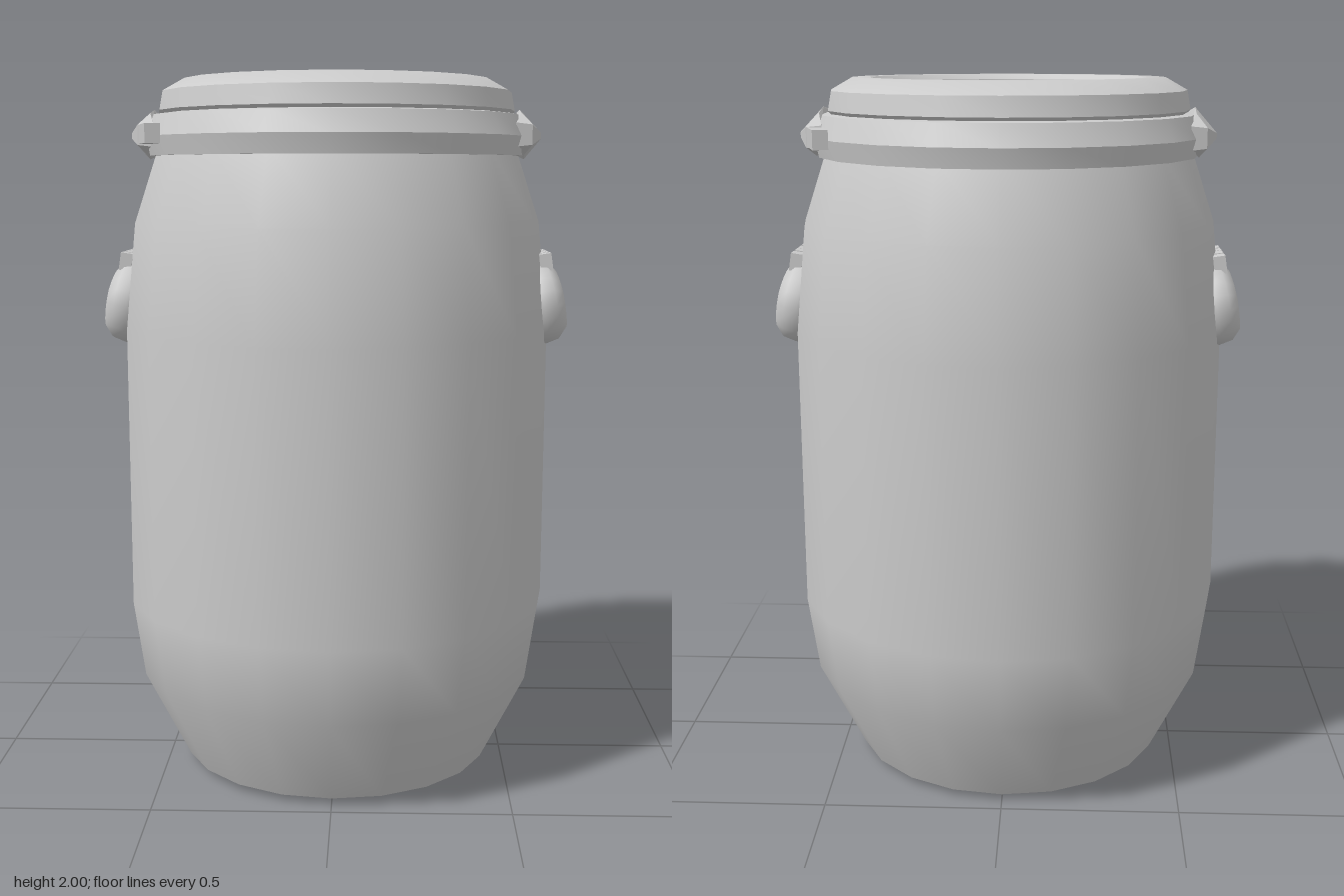
import * as THREE from 'three';
import { toCreasedNormals } from 'three/addons/utils/BufferGeometryUtils.js';
import { ConvexGeometry } from 'three/addons/geometries/ConvexGeometry.js';

const SIDES = 20;
const grey = new THREE.MeshStandardMaterial({ color: 0xcccccc, side: THREE.DoubleSide });
const V = (x, y, z) => new THREE.Vector3(x, y, z);

function mesh(name, geometry, parent) {
  const m = new THREE.Mesh(geometry, grey);
  m.name = name;
  parent.add(m);
  return m;
}

// Turned part from [radius, height] pairs, listed bottom to top
function turned(profile, crease) {
  const g = new THREE.LatheGeometry(profile.map(([r, y]) => new THREE.Vector2(r, y)), SIDES);
  return crease ? toCreasedNormals(g, crease) : g;
}

// Carrying handle on the +x side: kidney-shaped loop, web and hinge lugs
function buildHandle() {
  const handle = new THREE.Group();
  const path = new THREE.CatmullRomCurve3([
    V(0.582, 1.425, 0), V(0.582, 1.425, 0.075), V(0.592, 1.385, 0.122), V(0.602, 1.325, 0.105),
    V(0.604, 1.318, 0), V(0.602, 1.325, -0.105), V(0.592, 1.385, -0.122), V(0.582, 1.425, -0.075),
  ], true);
  const loop = new THREE.TubeGeometry(path, 32, 0.062, 10, true);
  mesh('handleLoop', loop, handle);

  const web = mesh('handleWeb', new THREE.BoxGeometry(0.05, 0.14, 0.2), handle);
  web.position.set(0.596, 1.39, 0);
  web.rotation.z = 0.12;

  // Hinge lugs along the top edge
  for (const [z, width] of [[-0.085, 0.045], [-0.025, 0.045], [0.025, 0.045], [0.085, 0.045]]) {
    const lug = mesh('hingeLug', new THREE.BoxGeometry(0.035, 0.05, width), handle);
    lug.position.set(0.6, 1.488, z);
    lug.rotation.z = 0.15;
  }
  const pin = mesh('hingePin', new THREE.CylinderGeometry(0.014, 0.014, 0.2, 8), handle);
  pin.position.set(0.602, 1.48, 0);
  pin.rotation.x = Math.PI / 2;
  return handle;
}

// Clamp on the +x side: faceted housing with a lever reaching past it
function buildClamp() {
  const clamp = new THREE.Group();
  const points = [];
  for (const s of [-1, 1]) {
    points.push(
      V(0.5, 1.875, s * 0.195), V(0.5, 1.81, s * 0.195),
      V(0.545, 1.87, s * 0.185), V(0.545, 1.815, s * 0.185),
      V(0.52, 1.905, s * 0.11), V(0.53, 1.79, s * 0.12),
      V(0.582, 1.85, s * 0.06), V(0.582, 1.835, s * 0.06),
    );
  }
  points.push(V(0.525, 1.918, 0), V(0.54, 1.778, 0));
  mesh('clampHousing', new ConvexGeometry(points), clamp);

  const lever = mesh('clampLever', new THREE.BoxGeometry(0.042, 0.052, 0.18), clamp);
  lever.position.set(0.507, 1.844, -0.235);
  lever.rotation.y = 0.27;
  return clamp;
}

export function createModel() {
  const barrel = new THREE.Group();
  barrel.name = 'barrel';

  // Body shell and base
  mesh('body', turned([
    [0.455, 0.02], [0.585, 0.28], [0.617, 0.5], [0.617, 1.3], [0.587, 1.6], [0.52, 1.8],
  ]), barrel);
  mesh('base', turned([[0, 0], [0.455, 0.02]]), barrel);

  // Clamping ring around the neck
  mesh('clampRing', turned([
    [0.5, 1.787], [0.54, 1.787], [0.552, 1.84], [0.528, 1.9], [0.49, 1.905],
  ], 0.4), barrel);

  // Lid with raised rim and sunken centre
  mesh('lid', turned([
    [0.49, 1.89], [0.512, 1.912], [0.502, 1.965], [0.44, 2], [0.39, 2], [0.372, 1.985], [0.368, 1.935], [0, 1.935],
  ], 0.65), barrel);

  // Handles and clamps repeat at half a turn
  for (const [side, angle] of [['left', 0], ['right', Math.PI]]) {
    const handle = buildHandle();
    handle.name = side + 'Handle';
    const clamp = buildClamp();
    clamp.name = side + 'Clamp';
    handle.rotation.y = clamp.rotation.y = angle;
    barrel.add(handle, clamp);
  }
  return barrel;
}
